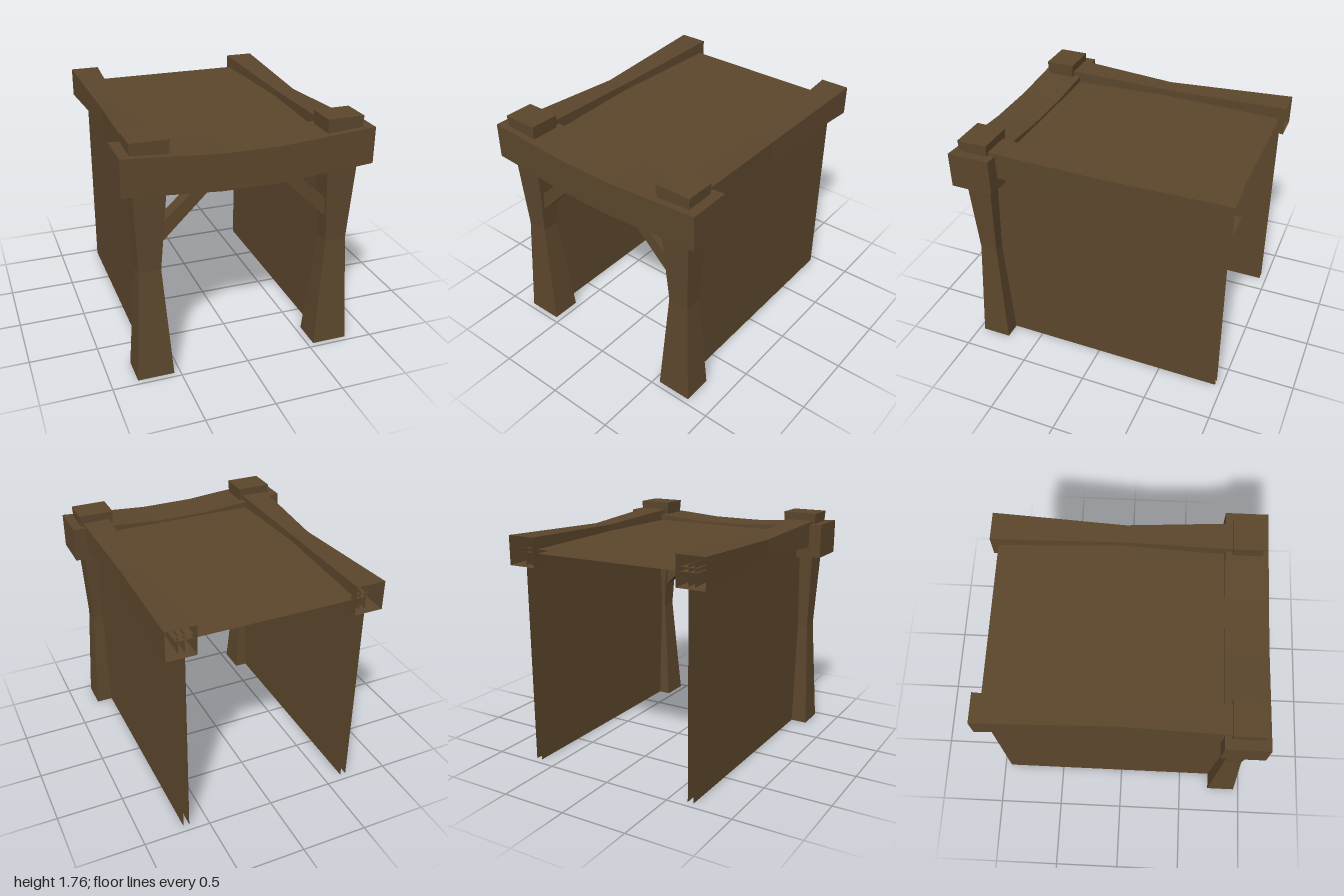
import * as THREE from 'three';

const wood = new THREE.MeshStandardMaterial({ color: 0x5b462c, side: THREE.DoubleSide, flatShading: true });
wood.name = 'dark brown wood';

// Skin a row of four-cornered sections; the first end stays open, the last is capped.
function loft(sections) {
  const pos = [];
  const quad = (a, b, c, d) => pos.push(...a, ...b, ...c, ...a, ...c, ...d);
  for (let i = 0; i < sections.length - 1; i++) {
    const s = sections[i], t = sections[i + 1];
    for (let k = 0; k < 4; k++) {
      const n = (k + 1) % 4;
      quad(s[k], s[n], t[n], t[k]);
    }
  }
  quad(...sections[sections.length - 1]);
  const geometry = new THREE.BufferGeometry();
  geometry.setAttribute('position', new THREE.Float32BufferAttribute(pos, 3));
  geometry.computeVertexNormals();
  return geometry;
}

// Rectangular sections, lying flat (post) and standing upright (beam)
const flat = (y, x0, x1, z0, z1) => [[x0, y, z1], [x1, y, z1], [x1, y, z0], [x0, y, z0]];
const upright = (z, x0, x1, y0, y1) => [[x0, y0, z], [x1, y0, z], [x1, y1, z], [x0, y1, z]];

// Extruded outline between two depths
function slab(points, z0, z1) {
  const shape = new THREE.Shape(points.map(([x, y]) => new THREE.Vector2(x, y)));
  return new THREE.ExtrudeGeometry(shape, { depth: z1 - z0, bevelEnabled: false }).translate(0, 0, z0);
}

export function createModel() {
  const model = new THREE.Group();
  model.name = 'timberEntrance';
  const add = (name, geometry, parent = model) => {
    const mesh = new THREE.Mesh(geometry, wood);
    mesh.name = name;
    parent.add(mesh);
    return mesh;
  };

  // Sagging lintel across the front
  add('lintel', slab([
    [-0.88, 1.43], [-0.2, 1.38], [0.2, 1.38], [0.88, 1.43],
    [0.88, 1.69], [0.2, 1.64], [-0.2, 1.64], [-0.88, 1.69],
  ], 0.69, 1));

  // Parts that repeat on both sides
  for (const side of [1, -1]) {
    const half = new THREE.Group();
    half.name = side > 0 ? 'leftSide' : 'rightSide';
    half.scale.x = side;
    model.add(half);

    // Waisted post, open at the foot
    add('post', loft([
      flat(0, 0.545, 0.81, 0.74, 0.96),
      flat(0.83, 0.61, 0.765, 0.785, 0.915),
      flat(1.765, 0.545, 0.81, 0.737, 0.957),
    ]), half);

    // Waisted roof beam, open at the back
    add('roofBeam', loft([
      upright(-1, 0.575, 0.79, 1.495, 1.71),
      upright(-0.03, 0.615, 0.755, 1.535, 1.67),
      upright(0.85, 0.572, 0.79, 1.5, 1.71),
    ]), half);

    // Diagonal brace between post and lintel
    add('brace', slab([[0.2, 1.42], [0.32, 1.42], [0.66, 1.1], [0.66, 0.965]], 0.8, 0.9), half);

    // Wall made of an inner and an outer sheet
    for (const [name, x] of [['innerWall', 0.64], ['outerWall', 0.685]]) {
      add(name, new THREE.PlaneGeometry(1.8, 1.64).rotateY(Math.PI / 2).translate(x, 0.82, -0.05), half);
    }
  }

  // Roof made of an upper and a lower sheet
  for (const [name, y] of [['roofTop', 1.62], ['ceiling', 1.59]]) {
    add(name, new THREE.PlaneGeometry(1.4, 1.8).rotateX(-Math.PI / 2).translate(0, y, -0.05));
  }
  return model;
}
